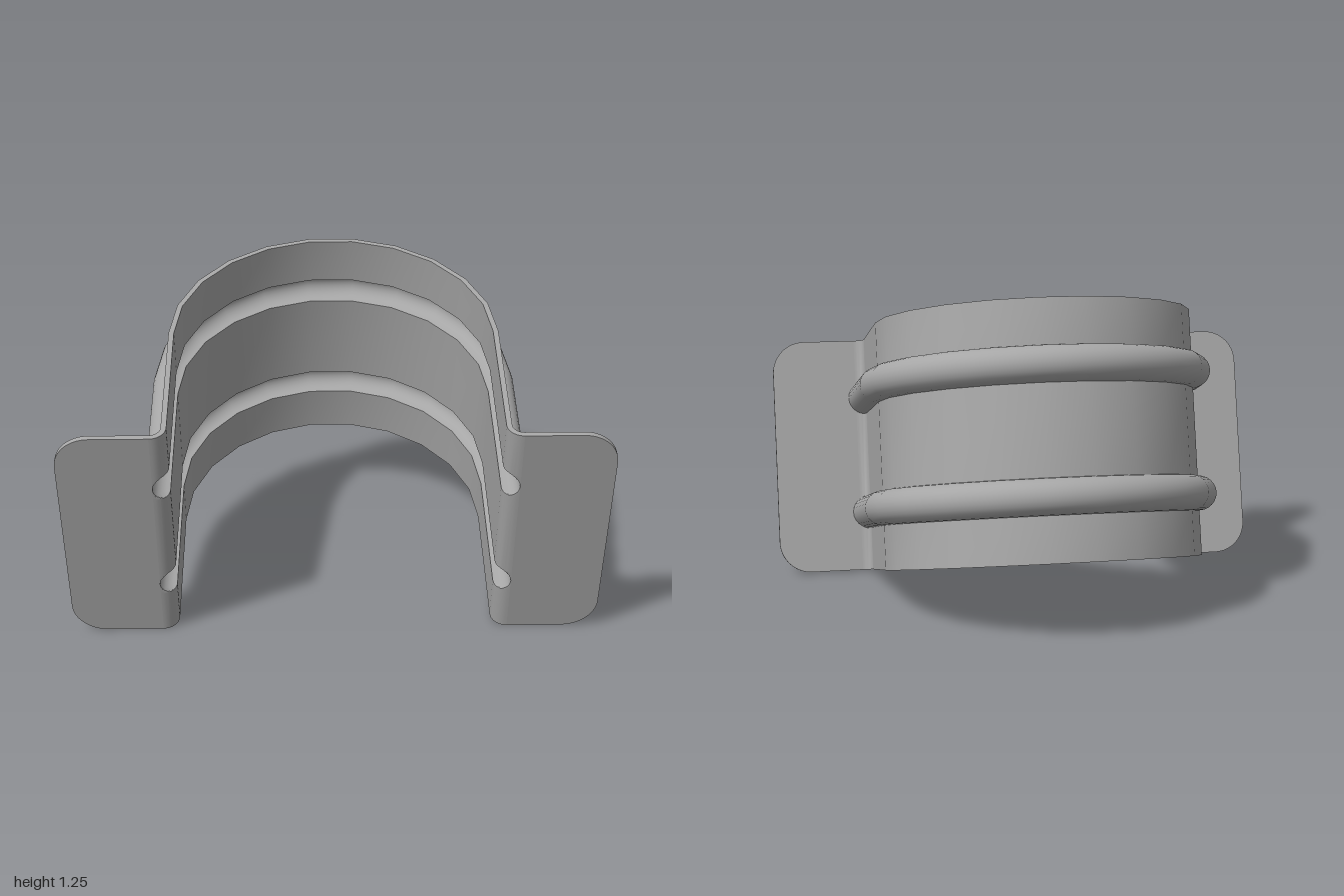
import * as THREE from 'three';
import { toCreasedNormals } from 'three/addons/utils/BufferGeometryUtils.js';

const HALF = 0.4815;            // half height of the strip
const INNER = 0.6, OUTER = 0.62; // strap radii
const FRONT = 0.61, SHEET = 0.02; // front plane and sheet thickness
const BEND = 0.06, BEND_Z = FRONT - BEND; // bend where strap meets flange
const ARC_Z = 0.003, ARC_SEGMENTS = 11;
const RIBS = [-0.24, 0.24];

// Height profile of one sheet side: flat with two half-round ribs, as [v, bulge]
function ribProfile(halfWidth, depth) {
  const points = [[-HALF, 0]];
  for (const centre of RIBS) {
    for (let i = 0; i <= 12; i++) {
      const a = Math.PI * i / 12;
      points.push([centre - halfWidth * Math.cos(a), depth * Math.sin(a)]);
    }
  }
  points.push([HALF, 0]);
  return points;
}

// Stations along the U. Each gives a function (side, bulge) -> [x, z]
function makeStations() {
  const side = [];
  const steps = 10;
  // bend: the ribs run straight through it until they meet the flange
  for (let i = steps; i >= 0; i--) {
    const t = Math.PI / 2 * i / steps;
    side.push((outer, bulge) => {
      const r = outer ? BEND - SHEET : BEND;
      const x = INNER + BEND - r * Math.cos(t);
      const ribX = (outer ? OUTER : INNER) + bulge;
      return [Math.max(x, ribX), BEND_Z + r * Math.sin(t)];
    });
  }
  // straight leg
  for (const z of [BEND_Z - 0.01, ARC_Z + 0.015]) {
    side.push((outer, bulge) => [(outer ? OUTER : INNER) + bulge, z]);
  }
  const arc = [];
  for (let i = 0; i <= ARC_SEGMENTS; i++) {
    const a = Math.PI * i / ARC_SEGMENTS;
    arc.push((outer, bulge) => {
      const r = (outer ? OUTER : INNER) + bulge;
      return [r * Math.cos(a), ARC_Z - r * Math.sin(a)];
    });
  }
  const mirrored = side.slice().reverse().map((f) => (outer, bulge) => {
    const [x, z] = f(outer, bulge);
    return [-x, z];
  });
  return [...side, ...arc, ...mirrored];
}

function strapGeometry() {
  const inner = ribProfile(0.053, 0.06);
  const outer = ribProfile(0.068, 0.07).reverse();
  const loop = [
    ...inner.map(([v, b]) => [false, v, b]),
    ...outer.map(([v, b]) => [true, v, b]),
  ];
  const stations = makeStations();
  const n = loop.length;
  const positions = [], index = [];
  stations.forEach((at, s) => {
    loop.forEach(([isOuter, v, bulge], j) => {
      const [x, z] = at(isOuter, bulge);
      positions.push(x, v, z);
      if (s === stations.length - 1) return;
      const a = s * n + j, b = s * n + (j + 1) % n;
      index.push(a, b, a + n, b, b + n, a + n);
    });
  });
  const geometry = new THREE.BufferGeometry();
  geometry.setAttribute('position', new THREE.Float32BufferAttribute(positions, 3));
  geometry.setIndex(index);
  return toCreasedNormals(geometry, 0.55);
}

// Flat mounting tab with two rounded outer corners
function flangeGeometry() {
  const r = 0.13, x0 = INNER + BEND;
  const shape = new THREE.Shape();
  shape.moveTo(x0, -HALF);
  shape.lineTo(1 - r, -HALF);
  shape.absarc(1 - r, -HALF + r, r, -Math.PI / 2, 0, false);
  shape.absarc(1 - r, HALF - r, r, 0, Math.PI / 2, false);
  shape.lineTo(x0, HALF);
  const geometry = new THREE.ExtrudeGeometry(shape, { depth: SHEET, bevelEnabled: false, curveSegments: 8 });
  geometry.translate(0, 0, FRONT - SHEET);
  return toCreasedNormals(geometry, 0.55);
}

export function createModel() {
  const steel = new THREE.MeshStandardMaterial({ color: 0xa6a6a6 });
  steel.name = 'greySteel';

  const clamp = new THREE.Group();
  clamp.name = 'clamp';

  const strap = new THREE.Mesh(strapGeometry(), steel);
  strap.name = 'ribbedStrap';
  clamp.add(strap);

  const flange = flangeGeometry();
  const left = new THREE.Mesh(flange, steel);
  left.name = 'leftFlange';
  const right = new THREE.Mesh(flange, steel);
  right.name = 'rightFlange';
  right.rotation.z = Math.PI;
  clamp.add(left, right);

  // the whole clamp leans forward
  clamp.rotation.x = THREE.MathUtils.degToRad(15);
  clamp.position.y = 0.623;

  const model = new THREE.Group();
  model.name = 'saddleClamp';
  model.add(clamp);
  return model;
}
